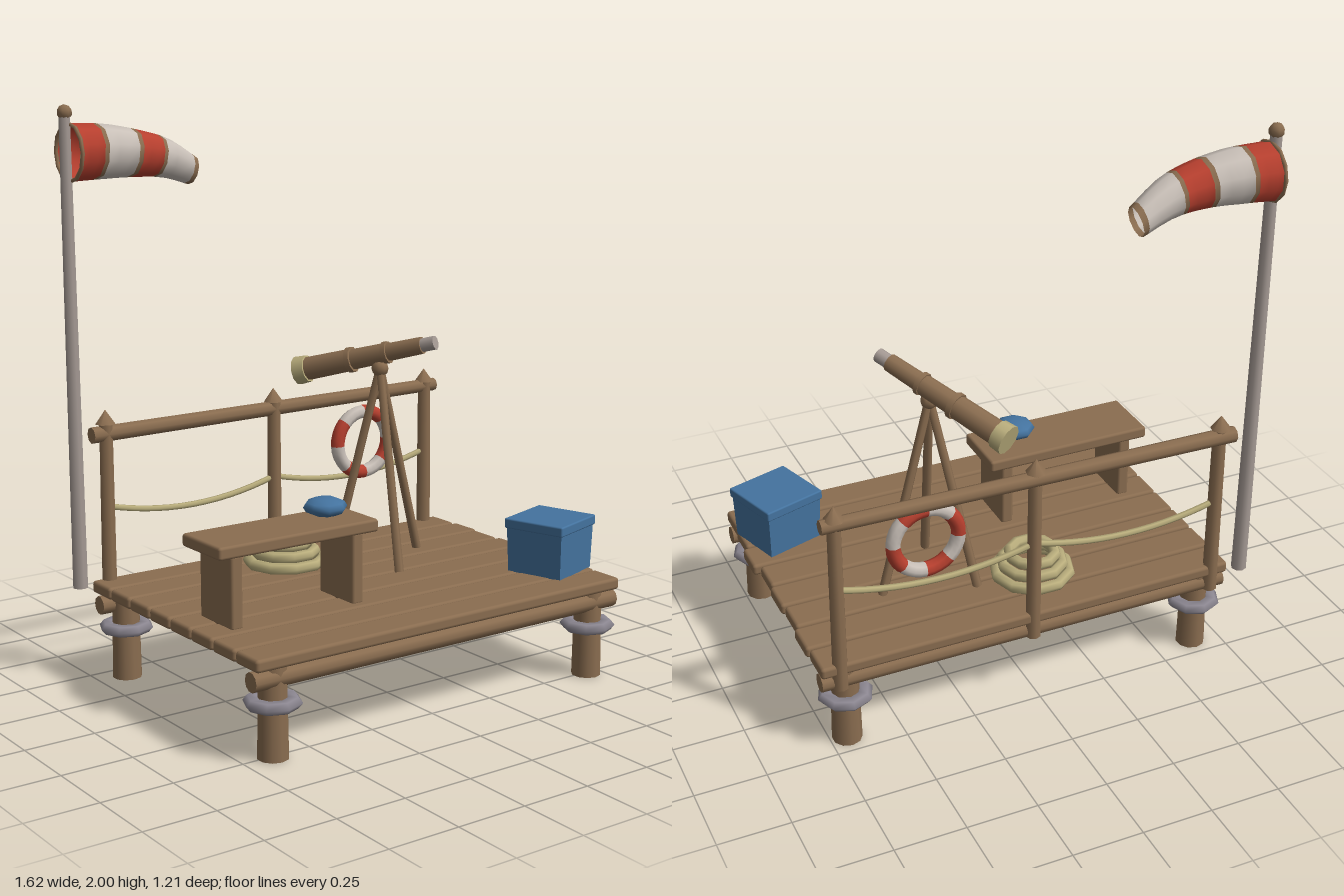
import * as THREE from 'three';
import { RoundedBoxGeometry } from 'three/addons/geometries/RoundedBoxGeometry.js';

const mat = (name, color, side = THREE.FrontSide) => {
  const m = new THREE.MeshStandardMaterial({ color, side });
  m.name = name;
  return m;
};
const V = (x, y, z) => new THREE.Vector3(x, y, z);

export function createModel() {
  const root = new THREE.Group();
  root.name = 'lookoutDock';
  const wood = mat('wood', 0x8a6d50, THREE.DoubleSide);
  const rope = mat('rope', 0xb9ad7c);
  const red = mat('red', 0xb8402f, THREE.DoubleSide);
  const white = mat('white', 0xc9c0b8, THREE.DoubleSide);
  const blue = mat('blue', 0x44739f);
  const paleWood = mat('paleWood', 0xa59a94);
  const metal = mat('metal', 0x8c8791);

  const add = (name, geo, material, x = 0, y = 0, z = 0, parent = root) => {
    const m = new THREE.Mesh(geo, material);
    m.name = name;
    m.position.set(x, y, z);
    parent.add(m);
    return m;
  };
  const box = (name, w, h, d, material, x, y, z, r = 0.01) =>
    add(name, new RoundedBoxGeometry(w, h, d, 2, r), material, x, y, z);
  // tapered round bar between two points
  const bar = (name, a, b, ra, rb, material, sides = 10) => {
    const dir = b.clone().sub(a);
    const m = add(name, new THREE.CylinderGeometry(rb, ra, dir.length(), sides), material);
    m.position.copy(a).add(b).multiplyScalar(0.5);
    m.quaternion.setFromUnitVectors(V(0, 1, 0), dir.normalize());
    return m;
  };

  // deck planks, slightly uneven in length
  const ends = [0.79, 0.797, 0.785, 0.793, 0.785, 0.807, 0.79, 0.785];
  ends.forEach((end, i) =>
    box('plank', end + 0.74, 0.043, 0.125, wood, (end - 0.74) / 2, 0.33, -0.425 + i * 0.133, 0.012));

  // log beams below the deck edges
  for (const z of [0.525, -0.445])
    bar('beam', V(-0.735, 0.27, z), V(0.785, 0.27, z), 0.033, 0.033, wood);

  // piles with metal collars
  for (const x of [-0.643, 0.69]) for (const z of [0.508, -0.423]) {
    bar('pile', V(x, 0, z), V(x, 0.31, z), 0.052, 0.047, wood);
    const collar = add('pileCollar', new THREE.TorusGeometry(0.067, 0.03, 6, 8), metal, x, 0.185, z);
    collar.rotation.x = Math.PI / 2;
    collar.scale.z = 0.7;
  }

  // railing
  const posts = [-0.68, 0.017, 0.72];
  for (const x of posts) {
    bar('railPost', V(x, 0.25, -0.468), V(x, 0.91, -0.468), 0.027, 0.024, wood, 8);
    add('postCap', new THREE.ConeGeometry(0.036, 0.05, 7), wood, x, 0.932, -0.472);
  }
  bar('handrail', V(-0.735, 0.872, -0.472), V(0.768, 0.89, -0.472), 0.029, 0.025, wood, 8);

  // sagging rope between posts
  const heights = [0.615, 0.627, 0.637];
  for (let i = 0; i < 2; i++) {
    const a = V(posts[i], heights[i], -0.468), b = V(posts[i + 1], heights[i + 1], -0.468);
    const mid = a.clone().lerp(b, 0.5);
    mid.y -= 0.1;
    add('railRope', new THREE.TubeGeometry(new THREE.QuadraticBezierCurve3(a, mid, b), 14, 0.011, 6), rope);
  }

  // life ring in eight alternating segments
  const ring = new THREE.Group();
  ring.name = 'lifeRing';
  ring.position.set(0.39, 0.717, -0.424);
  for (let i = 0; i < 8; i++) {
    const seg = add('ringSegment', new THREE.TorusGeometry(0.116, 0.026, 8, 4, Math.PI / 4),
      i % 2 ? white : red, 0, 0, 0, ring);
    seg.rotation.z = THREE.MathUtils.degToRad(47 + i * 45);
  }
  root.add(ring);

  // bench
  box('benchSeat', 0.63, 0.044, 0.232, wood, -0.377, 0.612, 0.167);
  for (const x of [-0.617, -0.138])
    box('benchLeg', 0.045, 0.25, 0.195, wood, x, 0.47, 0.172);
  const cushion = add('cushion', new THREE.SphereGeometry(0.076, 8, 6), blue, -0.21, 0.678, 0.18);
  cushion.scale.y = 0.43;
  cushion.rotation.y = Math.PI / 8;

  // storage bin with lid
  const bin = new THREE.Group();
  bin.name = 'bin';
  bin.position.set(0.659, 0.35, 0.339);
  bin.rotation.y = 0.31;
  const body = new THREE.BoxGeometry(0.226, 0.17, 0.222);
  const p = body.attributes.position;
  for (let i = 0; i < p.count; i++)
    if (p.getY(i) < 0) p.setXYZ(i, p.getX(i) * 0.95, p.getY(i), p.getZ(i) * 0.95);
  body.computeVertexNormals();
  add('binBody', body, blue, 0, 0.085, 0, bin);
  add('binLid', new RoundedBoxGeometry(0.24, 0.036, 0.235, 2, 0.006), blue, 0, 0.177, 0, bin);
  root.add(bin);

  // coiled rope
  [0.132, 0.107, 0.081].forEach((r, i) => {
    const coil = add('ropeCoil', new THREE.TorusGeometry(r, 0.021, 7, 10), rope, -0.077, 0.37 + i * 0.034, -0.26);
    coil.rotation.x = Math.PI / 2;
  });

  // tripod
  const apex = V(0.25, 1.06, -0.13);
  for (const [x, z] of [[0.2, 0.055], [0.45, -0.165], [0.13, -0.25]])
    bar('tripodLeg', V(x, 0.35, z), apex, 0.017, 0.015, wood, 7);
  add('tripodHub', new THREE.SphereGeometry(0.031, 8, 6), wood, 0.25, 1.055, -0.13);

  // telescope sections: start, end, radii, material
  const A = V(0.095, 1.02, -0.425), B = V(0.358, 1.162, 0.052);
  const at = t => A.clone().lerp(B, t);
  const sections = [
    ['objectiveRim', 0, 0.08, 0.053, 0.05, rope],
    ['wideTube', 0.08, 0.4, 0.043, 0.041, wood],
    ['tubeRing', 0.38, 0.415, 0.047, 0.047, wood],
    ['middleTube', 0.4, 0.66, 0.038, 0.036, wood],
    ['tubeRing', 0.64, 0.67, 0.041, 0.041, wood],
    ['narrowTube', 0.66, 0.91, 0.033, 0.031, wood],
    ['eyepiece', 0.91, 1, 0.025, 0.025, paleWood],
  ];
  for (const [name, s, e, ra, rb, m] of sections) bar(name, at(s), at(e), ra, rb, m);

  // windsock pole
  bar('windsockPole', V(-0.778, 0.33, -0.5), V(-0.79, 1.96, -0.5), 0.027, 0.02, paleWood, 8);
  add('poleFinial', new THREE.SphereGeometry(0.027, 7, 5), wood, -0.79, 1.973, -0.5);

  // windsock: open bands lofted along a bent path
  const path = new THREE.CatmullRomCurve3([V(-0.775, 1.84, -0.5), V(-0.65, 1.84, -0.49),
    V(-0.53, 1.83, -0.483), V(-0.41, 1.81, -0.495), V(-0.285, 1.762, -0.527)]);
  const radii = [0.098, 0.093, 0.08, 0.067, 0.05, 0.05];
  const loft = (t0, t1, n = 3, sides = 10) => {
    const pos = [], idx = [];
    for (let i = 0; i <= n; i++) {
      const t = t0 + (t1 - t0) * i / n, c = path.getPoint(t), k = Math.floor(t * 4);
      const r = THREE.MathUtils.lerp(radii[k], radii[k + 1], t * 4 - k);
      for (let j = 0; j < sides; j++) {
        const a = j / sides * Math.PI * 2;
        // later rings tilt with the drooping path
        pos.push(c.x + r * Math.cos(a) * 0.25 * t, c.y + r * Math.cos(a), c.z + r * Math.sin(a));
        if (i === n) continue;
        const p0 = i * sides + j, p1 = i * sides + (j + 1) % sides;
        idx.push(p0, p1, p0 + sides, p1, p1 + sides, p0 + sides);
      }
    }
    const g = new THREE.BufferGeometry();
    g.setAttribute('position', new THREE.Float32BufferAttribute(pos, 3));
    g.setIndex(idx);
    g.computeVertexNormals();
    return g;
  };
  const cuts = [0, 0.17, 0.2, 0.44, 0.475, 0.66, 0.69, 0.96, 1];
  const colours = [red, wood, white, wood];
  for (let i = 0; i < 8; i++)
    add(i % 2 ? 'windsockSeam' : 'windsockBand', loft(cuts[i], cuts[i + 1]), colours[i % 4]);
  const hoop = add('windsockHoop', new THREE.TorusGeometry(0.097, 0.007, 6, 12), wood, -0.775, 1.84, -0.5);
  hoop.rotation.y = Math.PI / 2;

  return root;
}
